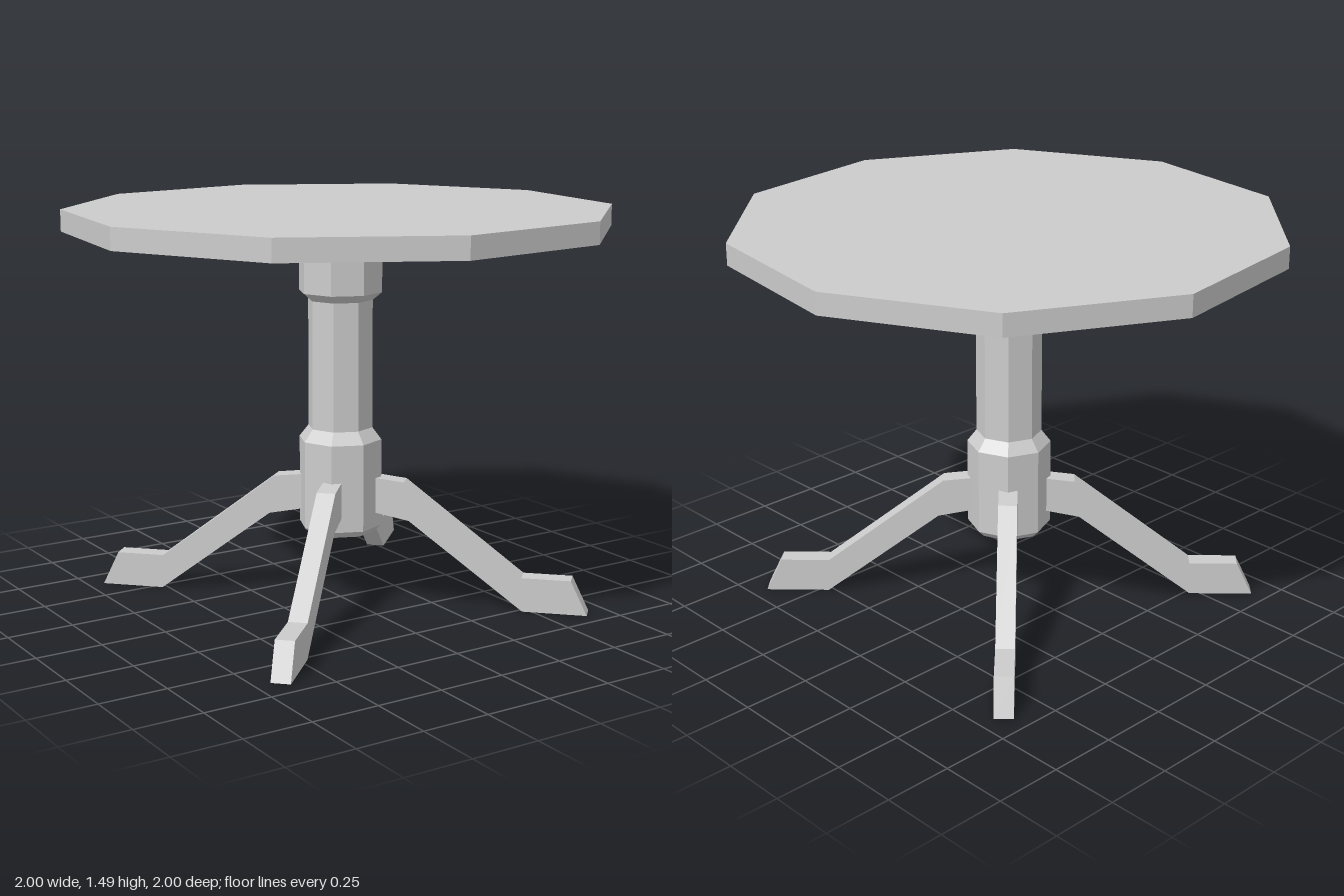
import * as THREE from 'three';

const material = new THREE.MeshStandardMaterial({ color: 0xcccccc, flatShading: true });

function addPart(parent, name, geometry, y = 0) {
  const mesh = new THREE.Mesh(geometry, material);
  mesh.name = name;
  mesh.position.y = y;
  parent.add(mesh);
  return mesh;
}

export function createModel() {
  const table = new THREE.Group();
  table.name = 'pedestalTable';

  // Ten-sided table top, turned so one corner sits at 27 degrees from +x
  const start = THREE.MathUtils.degToRad(27);
  addPart(table, 'tableTop', new THREE.CylinderGeometry(1.0125, 1.0125, 0.08, 10, 1, false, start), 1.45);

  // Octagonal mounting plate under the top
  addPart(table, 'mountingPlate', new THREE.CylinderGeometry(0.308, 0.308, 0.036, 8), 1.393);

  // Octagonal column with a thicker block at each end
  const profile = [
    [0, 0.27], [0.132, 0.27], [0.157, 0.295], [0.157, 0.625], [0.122, 0.67],
    [0.122, 1.15], [0.157, 1.18], [0.157, 1.376], [0, 1.376],
  ].map(([r, y]) => new THREE.Vector2(r, y));
  addPart(table, 'column', new THREE.LatheGeometry(profile, 8));

  // Splayed leg: side outline as (distance from axis, height)
  const outline = [
    [0.08, 0.358], [0.14, 0.35], [0.268, 0.325], [0.7, 0], [0.94, 0],
    [0.878, 0.13], [0.695, 0.13], [0.248, 0.472], [0.14, 0.484], [0.08, 0.491],
  ].map(([r, y]) => new THREE.Vector2(r, y));
  const thickness = 0.07;
  const legGeometry = new THREE.ExtrudeGeometry(new THREE.Shape(outline), {
    depth: thickness, bevelEnabled: false,
  });
  legGeometry.translate(0, 0, -thickness / 2);

  // Four legs on the diagonals
  const names = ['backLeftLeg', 'backRightLeg', 'frontRightLeg', 'frontLeftLeg'];
  names.forEach((name, i) => {
    addPart(table, name, legGeometry).rotation.y = Math.PI / 4 + (i * Math.PI) / 2;
  });

  return table;
}
